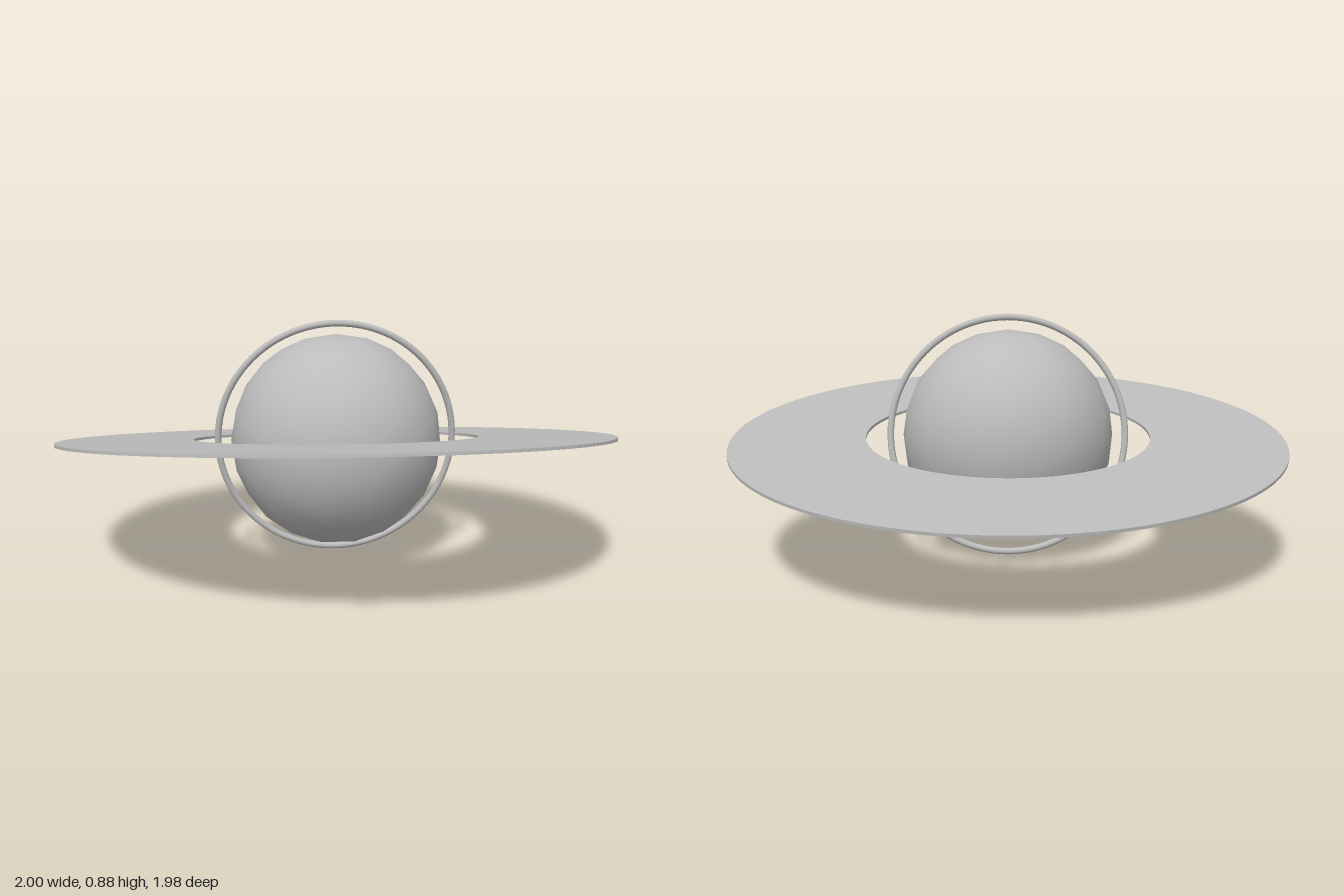
import * as THREE from 'three';

const CENTRE_Y = 0.442;
const TILT = 0.14;

export function createModel() {
  const model = new THREE.Group();
  model.name = 'ringedPlanet';
  const grey = new THREE.MeshStandardMaterial({ color: 0xbcbcbc });
  grey.name = 'grey';

  function add(name, geometry, tilt = 0) {
    const mesh = new THREE.Mesh(geometry, grey);
    mesh.name = name;
    mesh.position.y = CENTRE_Y;
    mesh.rotation.x = tilt;
    model.add(mesh);
  }

  // Smooth-shaded globe with a coarse outline
  add('globe', new THREE.IcosahedronGeometry(0.384, 3));

  // Broad flat disc with a round hole, its front edge raised
  const disc = new THREE.Shape().absarc(0, 0, 1, 0, Math.PI * 2, false);
  disc.holes.push(new THREE.Path().absarc(0, 0, 0.518, 0, Math.PI * 2, true));
  const discGeometry = new THREE.ExtrudeGeometry(disc, {
    depth: 0.01, bevelEnabled: false, curveSegments: 96,
  });
  discGeometry.translate(0, 0, -0.005).rotateX(-Math.PI / 2);
  add('flatRing', discGeometry, -TILT);

  // Slim upright hoop, its top leaning forward
  add('uprightHoop', new THREE.TorusGeometry(0.431, 0.012, 12, 96), TILT);

  return model;
}
